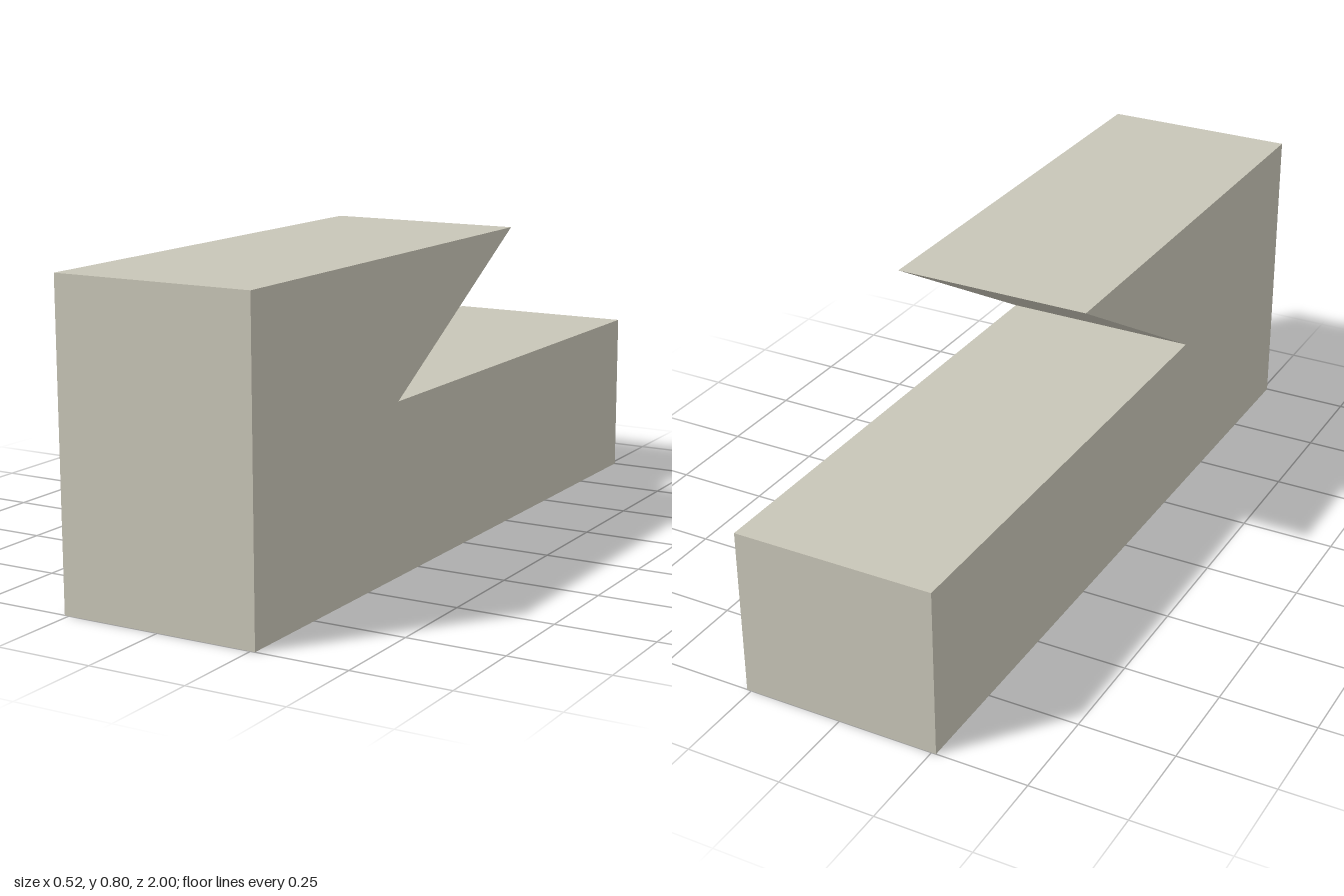
import * as THREE from 'three';

export function createModel() {
  const group = new THREE.Group();
  group.name = 'notchedBlock';
  const stone = new THREE.MeshStandardMaterial({ color: 0xc8c5b7 });
  stone.name = 'warmGrey';

  // Side profile as (z, y): tall front, undercut notch, low back
  const profile = new THREE.Shape([
    [-1, 0], [1, 0], [1, 0.8], [-0.256, 0.8], [0.356, 0.442], [-1, 0.442],
  ].map(([z, y]) => new THREE.Vector2(z, y)));

  // Extrude across the width, then turn the profile to run along z
  const width = 0.524;
  const geometry = new THREE.ExtrudeGeometry(profile, { depth: width, bevelEnabled: false });
  geometry.translate(0, 0, -width / 2);
  geometry.rotateY(-Math.PI / 2);

  const block = new THREE.Mesh(geometry, stone);
  block.name = 'block';
  group.add(block);
  return group;
}
